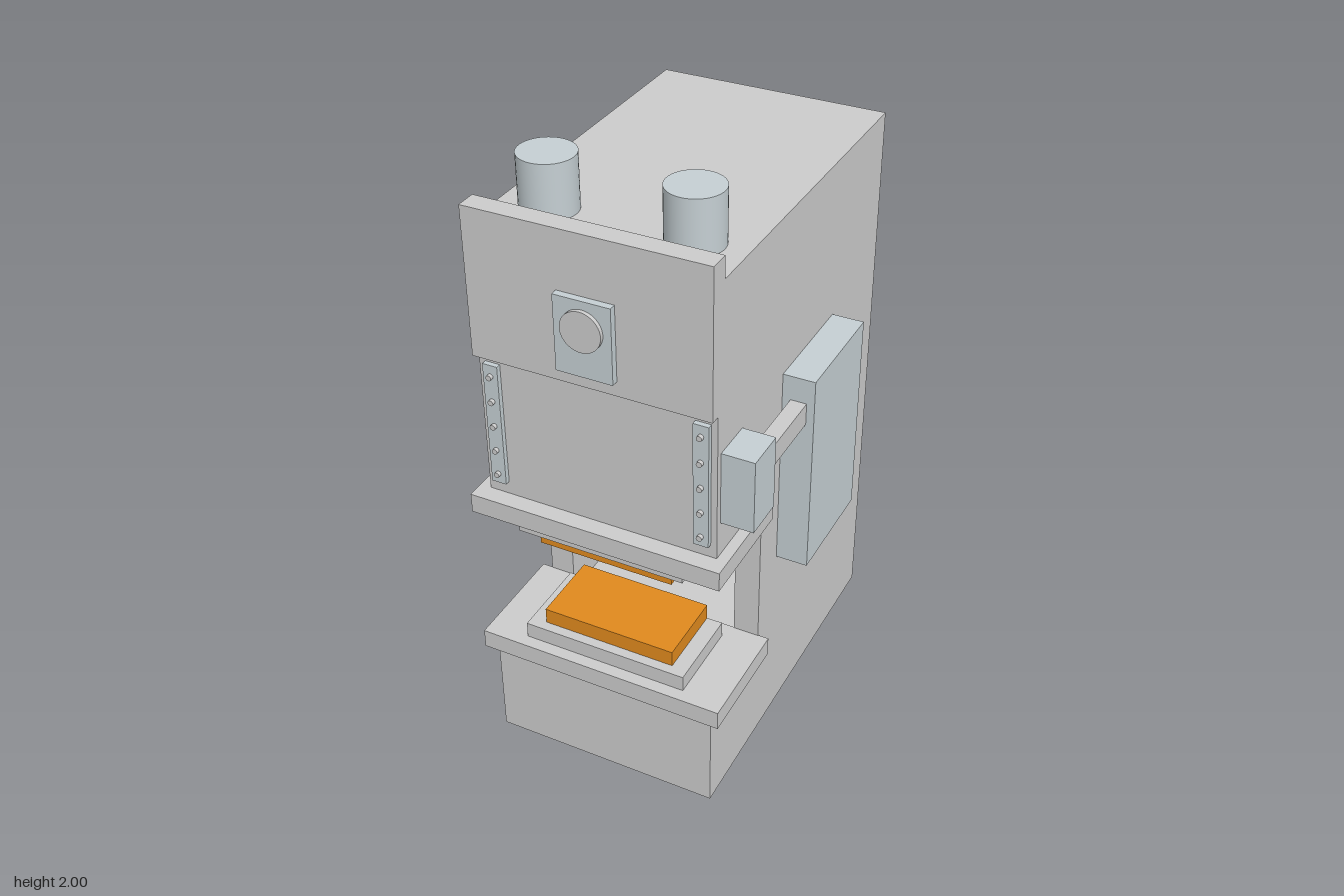
import * as THREE from 'three';

const grey = new THREE.MeshStandardMaterial({ color: 0xcccccc });
const steel = new THREE.MeshStandardMaterial({ color: 0xc5cfd3 });
const orange = new THREE.MeshStandardMaterial({ color: 0xe08a1e });

export function createModel() {
  const press = new THREE.Group();
  press.name = 'stampingPress';

  // Box given by its extents along each axis
  const box = (name, [x0, x1], [y0, y1], [z0, z1], material = grey) => {
    const mesh = new THREE.Mesh(new THREE.BoxGeometry(x1 - x0, y1 - y0, z1 - z0), material);
    mesh.position.set((x0 + x1) / 2, (y0 + y1) / 2, (z0 + z1) / 2);
    mesh.name = name;
    press.add(mesh);
  };

  // Cylinder centred at a point, upright or facing the front
  const cylinder = (name, radius, length, position, material, facesFront, sides = 40) => {
    const geometry = new THREE.CylinderGeometry(radius, radius, length, sides);
    if (facesFront) geometry.rotateX(Math.PI / 2);
    const mesh = new THREE.Mesh(geometry, material);
    mesh.position.set(...position);
    mesh.name = name;
    press.add(mesh);
  };

  const centre = -0.035; // middle of the frame in x
  const span = (half) => [centre - half, centre + half];
  const width = span(0.373);

  // Frame: base, two columns around the through opening, head
  box('base', width, [0, 0.343], [-0.612, 0.578]);
  box('rightColumn', [width[0], -0.327], [0.343, 0.947], [-0.612, 0.24]);
  box('leftColumn', [0.255, width[1]], [0.343, 0.947], [-0.612, 0.24]);
  box('head', width, [0.947, 1.832], [-0.612, 0.546]);

  // Front cover with control panel and dial
  box('frontCover', width, [1.43, 1.9], [0.512, 0.578]);
  box('controlPanel', span(0.088), [1.477, 1.715], [0.578, 0.6], steel);
  cylinder('dial', 0.063, 0.013, [centre, 1.626, 0.606], grey, true);

  // Bolster and slide plates with their dies
  box('bolsterPlate', span(0.408), [0.343, 0.407], [0.238, 0.602]);
  box('lowerDieHolder', span(0.272), [0.407, 0.46], [0.29, 0.562]);
  box('lowerDie', span(0.22), [0.46, 0.513], [0.29, 0.53], orange);
  box('slidePlate', span(0.408), [0.883, 0.947], [0.238, 0.602]);
  box('upperDieHolder', span(0.272), [0.83, 0.883], [0.29, 0.562]);
  box('upperDie', span(0.22), [0.78, 0.83], [0.29, 0.53], orange);

  // Guide strips with bolts, and air cylinders on top
  for (const side of [-1, 1]) {
    const x = centre + side * 0.33;
    box('guideStrip', [x - 0.024, x + 0.024], [0.99, 1.4], [0.546, 0.562], steel);
    for (let i = 0; i < 5; i++) {
      cylinder('guideBolt', 0.009, 0.012, [x, 1.023 + i * 0.085, 0.568], grey, true, 16);
    }
    cylinder('airCylinder', 0.085, 0.168, [centre + side * 0.221, 1.916, 0.373], steel, false);
  }

  // Electrical cabinet, arm and operator box on the left flank
  box('cabinet', [0.338, 0.44], [0.635, 1.313], [-0.258, 0.114], steel);
  box('controlArm', [0.364, 0.415], [1.16, 1.232], [0.114, 0.39]);
  box('operatorBox', [0.338, 0.44], [1.06, 1.298], [0.39, 0.525], steel);

  return press;
}
